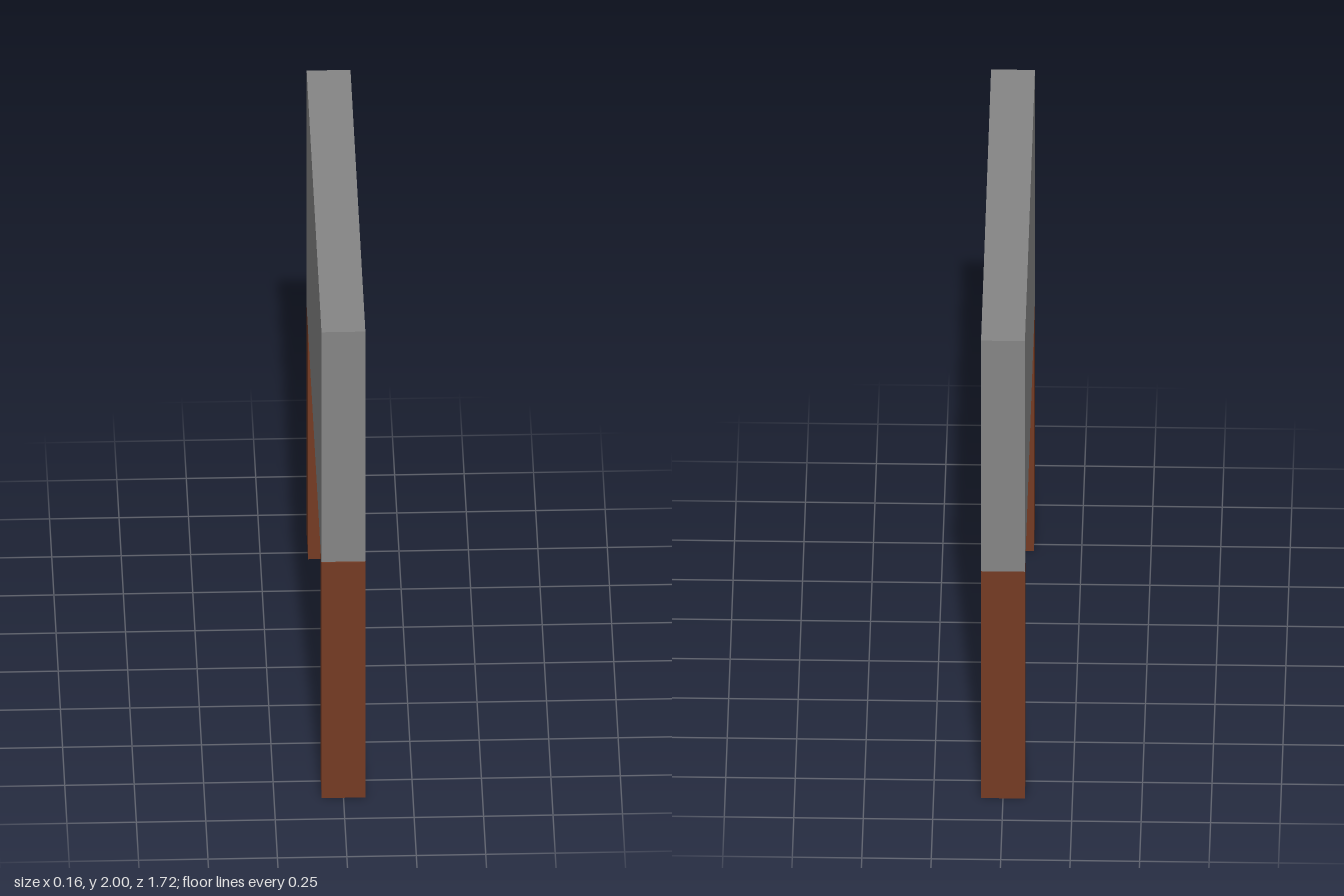
import * as THREE from 'three';

export function createModel() {
  const model = new THREE.Group();
  const grey = new THREE.MeshStandardMaterial({ color: 0x858585, flatShading: true });
  const brown = new THREE.MeshStandardMaterial({ color: 0x753b23, flatShading: true });

  // Box given by its height and depth limits, centred on x
  function addBox(name, width, [y0, y1], [z0, z1], material) {
    const mesh = new THREE.Mesh(new THREE.BoxGeometry(width, y1 - y0, z1 - z0), material);
    mesh.position.set(0, (y0 + y1) / 2, (z0 + z1) / 2);
    mesh.name = name;
    model.add(mesh);
  }

  // Upright board
  addBox('board', 0.158, [0.992, 2], [-0.862, 0.857], grey);

  // Square posts, their tops set slightly into the board
  addBox('frontPost', 0.157, [0, 1.012], [0.708, 0.863], brown);
  addBox('backPost', 0.157, [0, 1.012], [-0.861, -0.706], brown);

  return model;
}
